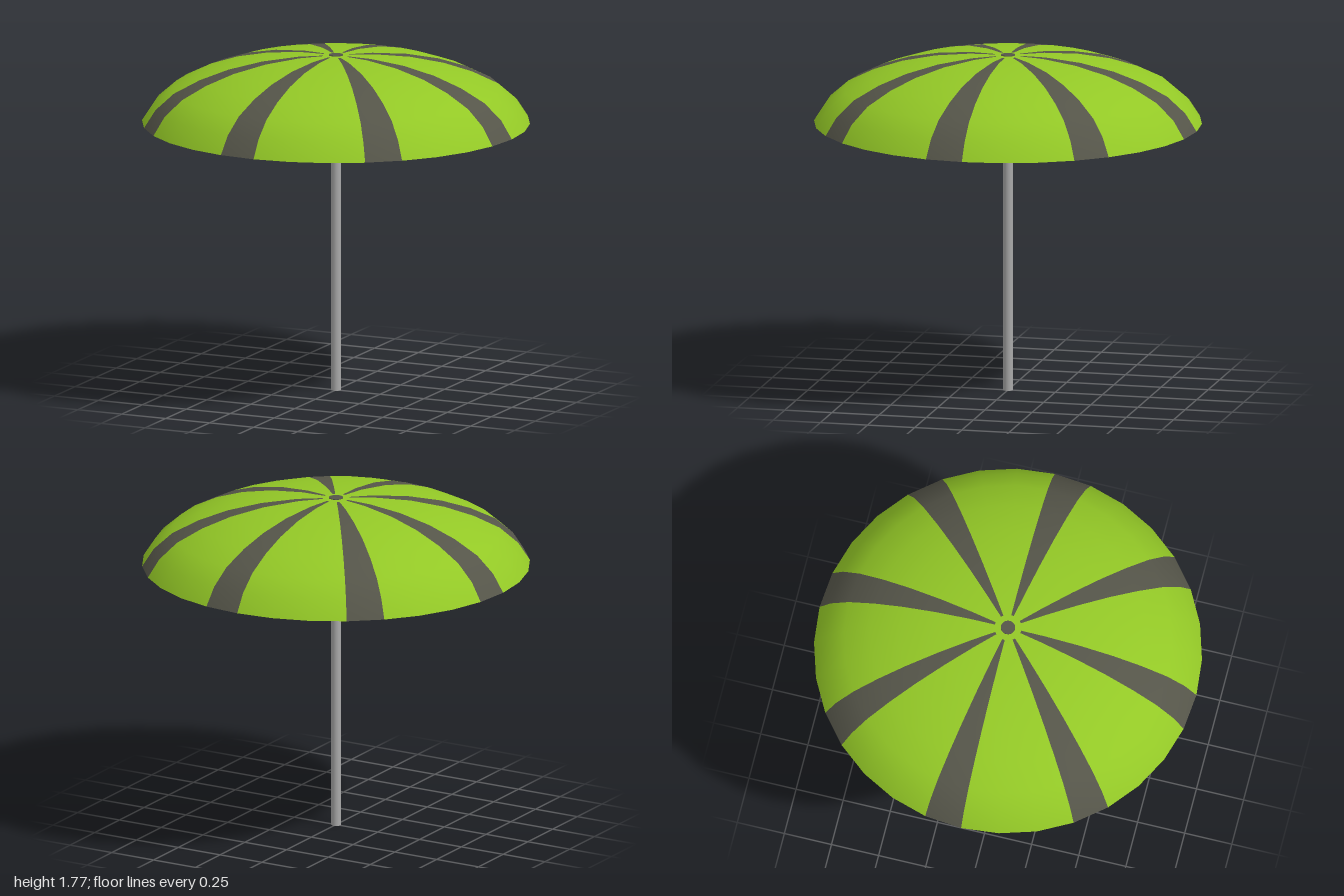
import * as THREE from 'three';

export function createModel() {
  const model = new THREE.Group();
  const material = (name, color, side = THREE.FrontSide) => {
    const m = new THREE.MeshStandardMaterial({ color, side });
    m.name = name;
    return m;
  };
  const green = material('green cloth', 0x93c826, THREE.DoubleSide);
  const dark = material('dark grey cloth', 0x555549, THREE.DoubleSide);
  const metal = material('grey metal', 0xaaaaaa);

  const add = (name, geometry, mat, y = 0) => {
    const mesh = new THREE.Mesh(geometry, mat);
    mesh.name = name;
    mesh.position.y = y;
    model.add(mesh);
  };

  // Canopy: one dome profile swept into eight green panels and eight dark stripes
  const profile = [
    [1, 1.412], [0.94, 1.505], [0.845, 1.588], [0.71, 1.655], [0.56, 1.706],
    [0.385, 1.743], [0.2, 1.762], [0.07, 1.764],
  ].map(([r, y]) => new THREE.Vector2(r, y));
  const step = Math.PI / 16;
  for (let i = 0; i < 8; i++) {
    const start = i * 4 * step;
    add('canopyPanel', new THREE.LatheGeometry(profile, 3, start, 3 * step), green);
    add('canopyStripe', new THREE.LatheGeometry(profile, 1, start - step, step), dark);
  }

  // Green centre and the dark button on top of it
  const centre = [new THREE.Vector2(0.07, 1.764), new THREE.Vector2(0, 1.765)];
  add('canopyCentre', new THREE.LatheGeometry(centre, 32), green);
  add('topButton', new THREE.CylinderGeometry(0.037, 0.037, 0.004, 24), dark, 1.766);

  // Pole with a slightly wider collar under the canopy
  add('pole', new THREE.CylinderGeometry(0.025, 0.025, 1.75, 16), metal, 0.875);
  add('collar', new THREE.CylinderGeometry(0.033, 0.033, 0.11, 16), metal, 1.705);

  return model;
}
